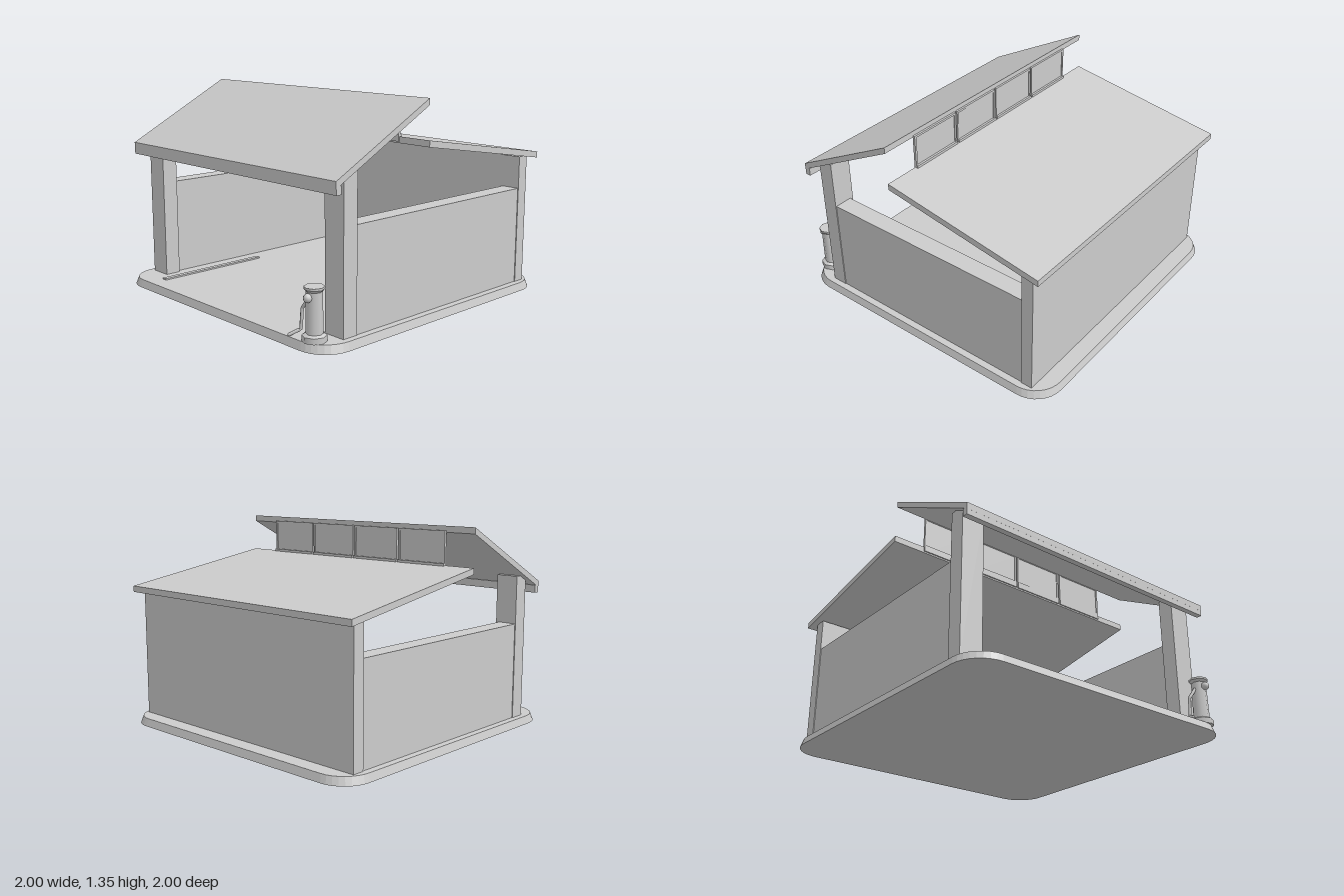
import * as THREE from 'three';

const grey = new THREE.MeshStandardMaterial({ color: 0xcccccc });
grey.name = 'plain grey';

function part(parent, name, geometry) {
  const mesh = new THREE.Mesh(geometry, grey);
  mesh.name = name;
  parent.add(mesh);
  return mesh;
}

// box given by its limits on each axis
function box(x0, x1, y0, y1, z0, z1) {
  return new THREE.BoxGeometry(x1 - x0, y1 - y0, z1 - z0)
    .translate((x0 + x1) / 2, (y0 + y1) / 2, (z0 + z1) / 2);
}

// outline of [z, y] points swept along x
function prism(points, x0, x1) {
  const shape = new THREE.Shape(points.map(([z, y]) => new THREE.Vector2(z, y)));
  return new THREE.ExtrudeGeometry(shape, { depth: x1 - x0, bevelEnabled: false })
    .rotateY(-Math.PI / 2).translate(x1, 0, 0);
}

// rounded slab, slightly narrower at the top
function slab(half, radius, height, topScale) {
  const s = new THREE.Shape();
  const c = half - radius;
  s.absarc(c, c, radius, 0, Math.PI / 2);
  s.absarc(-c, c, radius, Math.PI / 2, Math.PI);
  s.absarc(-c, -c, radius, Math.PI, Math.PI * 1.5);
  s.absarc(c, -c, radius, Math.PI * 1.5, Math.PI * 2);
  const g = new THREE.ExtrudeGeometry(s, { depth: height, bevelEnabled: false, curveSegments: 4 })
    .rotateX(-Math.PI / 2);
  const p = g.attributes.position;
  for (let i = 0; i < p.count; i++) {
    if (p.getY(i) > height / 2) p.setXYZ(i, p.getX(i) * topScale, p.getY(i), p.getZ(i) * topScale);
  }
  g.computeVertexNormals();
  return g;
}

function faceted(radiusTop, radiusBottom, y0, y1) {
  return new THREE.CylinderGeometry(radiusTop, radiusBottom, y1 - y0, 8)
    .toNonIndexed().translate(0, (y0 + y1) / 2, 0);
}

export function createModel() {
  const model = new THREE.Group();
  model.name = 'openGarage';
  const floor = 0.05;

  part(model, 'basePlate', slab(1, 0.19, floor, 0.985));

  // walls and front posts
  part(model, 'backWall', box(-0.945, 0.945, floor, 0.895, -0.88, -0.8));
  for (const [side, s] of [['left', 1], ['right', -1]]) {
    const span = (a, b) => (s > 0 ? [a, b] : [-b, -a]);
    part(model, side + 'FrontPost', box(...span(0.795, 0.945), floor, 1.0, 0.695, 0.8));
    part(model, side + 'SideWall', box(...span(0.82, 0.94), floor, 0.685, -0.8, 0.695));
  }

  // two roof slopes with a step between them
  const w = 0.985;
  part(model, 'frontRoof', prism([[0.155, 1.305], [0.895, 0.915], [0.895, 0.957], [0.155, 1.345]], -w, w));
  part(model, 'backRoof', prism([[-0.94, 0.88], [0.15, 1.06], [0.15, 1.1], [-0.94, 0.92]], -w, w));
  part(model, 'fascia', box(-w, w, 0.88, 0.93, 0.857, 0.894));

  // row of framed windows in the roof step
  const windows = new THREE.Group();
  windows.name = 'roofWindows';
  model.add(windows);
  const width = 0.37, y0 = 1.07, y1 = 1.315, rim = 0.014;
  for (let i = 0; i < 4; i++) {
    const a = -0.77 + i * 0.383, b = a + width;
    part(windows, 'windowPane', box(a + rim, b - rim, y0, y1 - rim, 0.146, 0.152));
    part(windows, 'windowStile', box(a, a + rim, y0, y1, 0.141, 0.157));
    part(windows, 'windowStile', box(b - rim, b, y0, y1, 0.141, 0.157));
    part(windows, 'windowTopRail', box(a + rim, b - rim, y1 - rim, y1, 0.141, 0.157));
    part(windows, 'windowSill', box(a, b, y0, 1.113, 0.131, 0.159));
  }

  // raised strip on the floor
  part(model, 'floorStrip', box(-0.72, -0.685, floor, 0.06, 0.07, 0.88));

  // short service post with knob and hose
  const post = new THREE.Group();
  post.name = 'servicePost';
  post.position.set(0.845, 0, 0.925);
  model.add(post);
  part(post, 'postFoot', faceted(0.072, 0.072, floor, 0.085));
  part(post, 'postFootTop', faceted(0.056, 0.072, 0.085, 0.095));
  part(post, 'postBody', faceted(0.047, 0.05, 0.095, 0.335));
  part(post, 'postFlare', faceted(0.06, 0.047, 0.335, 0.35));
  part(post, 'postCap', faceted(0.06, 0.06, 0.35, 0.363));
  part(post, 'postKnob', new THREE.SphereGeometry(0.026, 10, 8).translate(0, 0.305, 0.05));

  const path = new THREE.CurvePath();
  const points = [[-0.04, 0.29, 0], [-0.1, 0.215, 0], [-0.112, 0.09, 0], [-0.15, 0.06, 0.055]]
    .map((p) => new THREE.Vector3(...p));
  for (let i = 1; i < points.length; i++) path.add(new THREE.LineCurve3(points[i - 1], points[i]));
  part(post, 'postHose', new THREE.TubeGeometry(path, 24, 0.01, 6, false));
  part(post, 'hoseTip', new THREE.SphereGeometry(0.01, 6, 4).translate(-0.15, 0.06, 0.055));

  return model;
}
